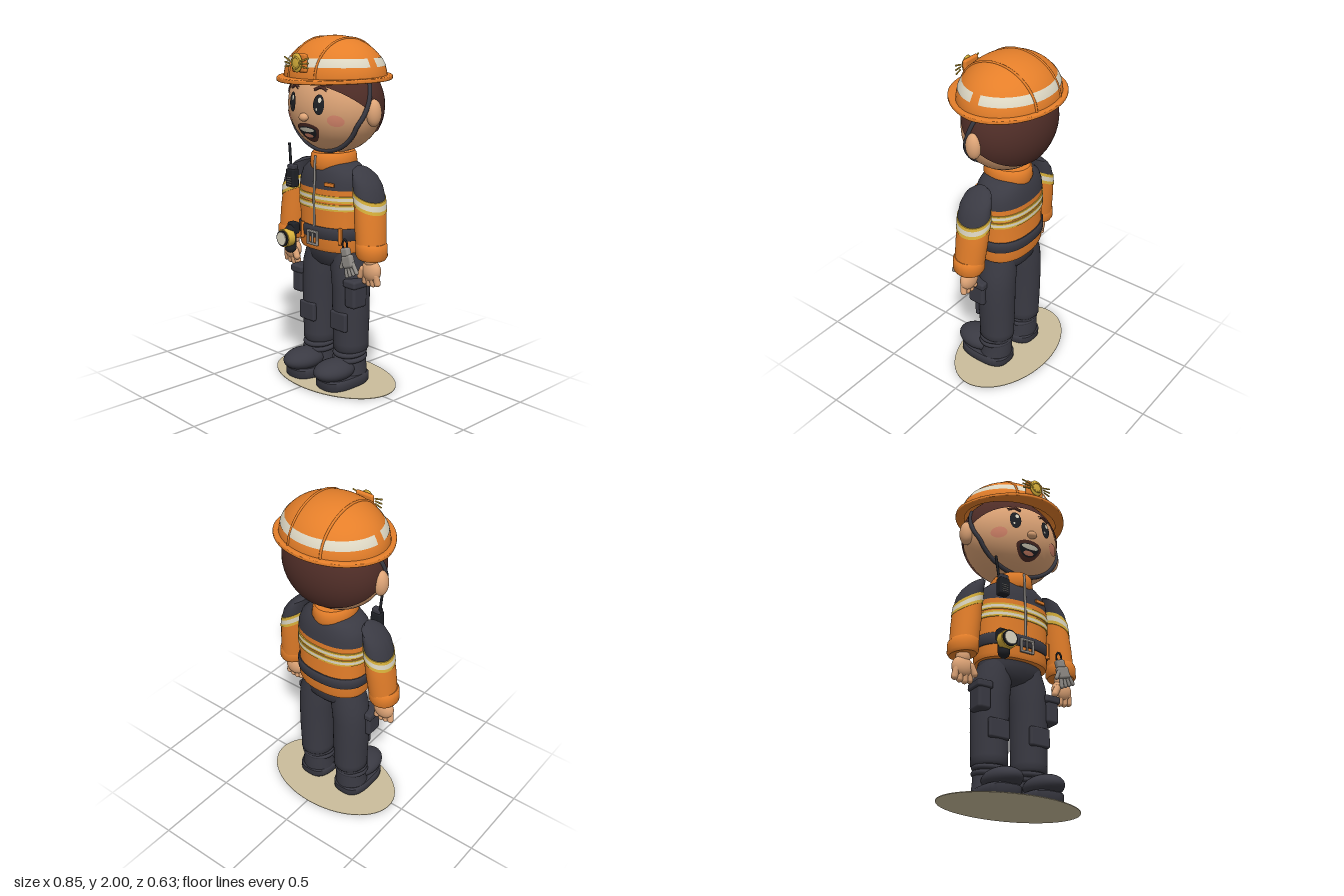
import * as THREE from 'three';
import { toCreasedNormals } from 'three/addons/utils/BufferGeometryUtils.js';
import { RoundedBoxGeometry } from 'three/addons/geometries/RoundedBoxGeometry.js';

const mat = (name, color, side = THREE.FrontSide) => {
  const m = new THREE.MeshStandardMaterial({ color, side });
  m.name = name;
  return m;
};

export function createModel() {
  const root = new THREE.Group();
  root.name = 'rescueWorker';
  const D = THREE.DoubleSide;
  const orange = mat('orange', 0xe57f2a, D), navy = mat('navy', 0x3a3a43), skin = mat('skin', 0xdfa577);
  const hair = mat('hairBrown', 0x4f2d27, D), silver = mat('silver', 0xded8c4, D), yellow = mat('yellow', 0xdcb43c, D);
  const grey = mat('grey', 0x918d88), black = mat('black', 0x1f2126), pink = mat('pink', 0xe08c70), sand = mat('sand', 0xcabd9b);

  const add = (name, geo, m, x = 0, y = 0, z = 0, rx = 0, ry = 0, rz = 0) => {
    const mesh = new THREE.Mesh(geo, m);
    mesh.name = name;
    mesh.position.set(x, y, z);
    mesh.rotation.set(rx, ry, rz);
    root.add(mesh);
    return mesh;
  };
  const ball = (name, m, x, y, z, a, b, c) => add(name, new THREE.SphereGeometry(1, 32, 22).scale(a, b, c), m, x, y, z);
  const box = (name, m, x, y, z, w, h, d, r = 0.01, ...rot) => add(name, new RoundedBoxGeometry(w, h, d, 3, r), m, x, y, z, ...rot);
  const tube = (name, m, pts, r) => add(name, new THREE.TubeGeometry(
    new THREE.CatmullRomCurve3(pts.map(p => new THREE.Vector3(...p))), 40, r, 8), m);

  // Skin over rings listed from top to bottom: [x, y, z, rx, rz, tilt]
  const loft = (name, m, rings, e = 2, n = 40) => {
    const pos = [], idx = [], last = rings.length - 1;
    const pw = v => Math.sign(v) * Math.abs(v) ** (2 / e);
    for (const [x, y, z, rx, rz, t = 0] of rings)
      for (let j = 0; j < n; j++) {
        const a = j / n * Math.PI * 2, u = rx * pw(Math.cos(a));
        pos.push(x + u * Math.cos(t), y - u * Math.sin(t), z + rz * pw(Math.sin(a)));
      }
    for (const r of [rings[0], rings[last]]) pos.push(r[0], r[1], r[2]);
    const top = n * rings.length;
    for (let j = 0; j < n; j++) {
      const k = (j + 1) % n, b = last * n;
      for (let i = 0; i < last; i++) {
        const p = i * n, q = p + n;
        idx.push(p + j, p + k, q + k, p + j, q + k, q + j);
      }
      idx.push(top, k, j, top + 1, b + j, b + k);
    }
    const g = new THREE.BufferGeometry();
    g.setAttribute('position', new THREE.Float32BufferAttribute(pos, 3));
    g.setIndex(idx);
    return add(name, toCreasedNormals(g, 0.75), m);
  };
  // Reflective tape: yellow, silver, yellow between two rings
  const tape = (name, a, b, e) => {
    const mix = t => a.map((v, i) => v + (b[i] - v) * t);
    [[0, 0.28, yellow], [0.28, 0.72, silver], [0.72, 1, yellow]].forEach(([f, t, m]) => loft(name, m, [mix(f), mix(t)], e));
  };

  add('groundDisc', new THREE.CylinderGeometry(1, 1, 0.004, 64).scale(0.425, 1, 0.275), sand, 0, 0.002, -0.025);

  // Head
  const HY = 1.62, HZ = -0.025, R = [0.3, 0.27, 0.235];
  const faceZ = (x, y) => HZ + R[2] * Math.sqrt(Math.max(0, 1 - (x / R[0]) ** 2 - ((y - HY) / R[1]) ** 2));
  ball('head', skin, 0, HY, HZ, ...R);
  add('hair', new THREE.SphereGeometry(1.03, 48, 32, 0, Math.PI * 2, 0, 1.69).rotateX(-0.6).scale(...R), hair, 0, HY, HZ);
  ball('nose', skin, 0, 1.565, 0.213, 0.03, 0.023, 0.024);

  // Face details: thin patches that follow the head
  const patch = (name, m, cx, cy, w, up, down, off, taper = 0) => {
    const g = new THREE.RingGeometry(0.002, 1, 40, 6), p = g.attributes.position;
    for (let i = 0; i < p.count; i++) {
      const u = p.getX(i), v = p.getY(i);
      const x = cx + u * w * (v < 0 ? 1 + taper * v : 1), y = cy + v * (v > 0 ? up : down);
      p.setXYZ(i, x, y, faceZ(x, y) + off);
    }
    g.computeVertexNormals();
    add(name, g, m);
  };
  patch('goatee', hair, 0, 1.5, 0.085, 0.032, 0.078, 0.004, 0.15);
  patch('mouth', black, 0, 1.495, 0.066, 0.018, 0.052, 0.007);
  patch('teeth', silver, 0, 1.495, 0.056, 0.012, 0.014, 0.01);
  patch('tongue', pink, 0, 1.462, 0.034, 0.01, 0.013, 0.01);
  for (const s of [1, -1]) {
    patch('eye', black, s * 0.105, 1.64, 0.033, 0.055, 0.055, 0.006);
    patch('eyeGlint', silver, s * 0.105 + 0.008, 1.665, 0.01, 0.014, 0.014, 0.009);
    patch('eyeGlint', silver, s * 0.105 - 0.01, 1.615, 0.005, 0.007, 0.007, 0.009);
    patch('cheek', pink, s * 0.187, 1.555, 0.04, 0.032, 0.032, 0.004);
    tube('eyebrow', hair, [0.065, 0.1, 0.14].map((x, i) => {
      const y = [1.718, 1.732, 1.716][i];
      return [s * x, y, faceZ(x, y) + 0.003];
    }), 0.008);
    ball('ear', skin, s * 0.305, 1.595, -0.022, 0.04, 0.075, 0.045);
  }

  // Chin strap
  const strap = [];
  for (let i = 0; i <= 24; i++) {
    const a = -2.05 + 4.1 * i / 24, y = HY - R[1] * Math.cos(a);
    const z = 0.065 - 0.09 * Math.max(0, (y - 1.52) / 0.24);
    const c = 1.025 * Math.sqrt(1 - ((z - HZ) / R[2]) ** 2);
    strap.push([R[0] * c * Math.sin(a), HY - R[1] * c * Math.cos(a), z]);
  }
  tube('chinStrap', navy, strap, 0.013);

  // Helmet
  const DY = 1.77, DR = [0.312, 0.23, 0.267];
  add('helmetDome', new THREE.SphereGeometry(1, 56, 24, 0, Math.PI * 2, 0, Math.PI / 2).scale(...DR), orange, 0, DY, HZ);
  const brim = new THREE.Shape(), hole = new THREE.Path();
  for (let i = 0; i < 72; i++) {
    const a = i / 72 * Math.PI * 2, f = Math.max(0, Math.sin(a));
    brim[i ? 'lineTo' : 'moveTo'](0.335 * Math.cos(a) * (1 - 0.1 * f * (1 - f)), 0.283 * Math.sin(a) + 0.047 * f ** 3);
  }
  hole.absellipse(0, 0, 0.298, 0.253, 0, Math.PI * 2);
  brim.holes.push(hole);
  const brimGeo = new THREE.ExtrudeGeometry(brim, { depth: 0.008, bevelThickness: 0.008, bevelSize: 0.009, bevelSegments: 3, curveSegments: 36 });
  add('helmetBrim', toCreasedNormals(brimGeo.rotateX(Math.PI / 2), 0.8), orange, 0, 1.776, HZ, 0.03);
  for (const start of [0.1, Math.PI + 0.1])
    add('helmetStripe', new THREE.SphereGeometry(1.008, 48, 4, start, Math.PI - 0.2, 1.055, 0.215).scale(...DR), silver, 0, DY, HZ);
  for (const s of [1, -1]) {
    const c = Math.sqrt(1 - (0.105 / DR[0]) ** 2), pts = [];
    for (let i = 0; i <= 16; i++) {
      const a = Math.PI * i / 16;
      pts.push([s * 0.105, DY + DR[1] * c * Math.sin(a), HZ + DR[2] * c * Math.cos(a)]);
    }
    tube('helmetRidge', orange, pts, 0.007);
    for (let i = 0; i < 3; i++)
      box('badgeWing', yellow, s * 0.07, 1.86 + (i - 1) * 0.02, 0.266, 0.05 + i * 0.006, 0.009, 0.007, 0.003, 0, s * 0.2, s * (i - 1) * 0.22 + s * 0.1);
  }
  box('badgeMount', orange, 0, 1.86, 0.238, 0.114, 0.1, 0.026, 0.012);
  ball('badge', yellow, 0, 1.862, 0.26, 0.042, 0.052, 0.012);
  add('badgeRim', new THREE.TorusGeometry(0.03, 0.005, 8, 32), yellow, 0, 1.862, 0.269);

  // Jacket
  const jr = (y, rx, rz) => [0, y, -0.02, rx, rz, 0];
  loft('jacketYoke', navy, [jr(1.31, 0.1, 0.105), jr(1.285, 0.16, 0.125), jr(1.25, 0.2, 0.14), jr(1.2, 0.22, 0.15), jr(1.16, 0.224, 0.154)], 2.3);
  loft('jacketBody', orange, [jr(1.16, 0.224, 0.154), jr(1.05, 0.222, 0.155), jr(0.92, 0.217, 0.155), jr(0.825, 0.22, 0.158), jr(0.803, 0.212, 0.15)], 2.3);
  tape('jacketTape', jr(1.128, 0.229, 0.16), jr(1.092, 0.229, 0.16), 2.3);
  tape('jacketTape', jr(1.08, 0.228, 0.16), jr(1.044, 0.228, 0.16), 2.3);
  loft('collar', orange, [[0, 1.358, -0.015, 0.106, 0.132], [0, 1.345, -0.015, 0.115, 0.141], [0, 1.29, -0.015, 0.122, 0.146], [0, 1.265, -0.015, 0.112, 0.136]]);
  tube('zip', grey, [[0, 0.94, 0.139], [0, 1.16, 0.138], [0, 1.22, 0.133], [0, 1.28, 0.134], [0, 1.345, 0.127]], 0.007);
  box('nameTag', orange, 0.11, 1.192, 0.124, 0.068, 0.022, 0.012, 0.004, 0, 0.15);

  // Belt
  loft('belt', navy, [jr(0.945, 0.222, 0.161), jr(0.937, 0.229, 0.167), jr(0.884, 0.229, 0.167), jr(0.876, 0.222, 0.161)], 2.3);
  for (const [x, y, w, h] of [[0, 0.036, 0.09, 0.014], [0, -0.036, 0.09, 0.014], [0.038, 0, 0.014, 0.086], [-0.038, 0, 0.014, 0.086], [0, 0, 0.01, 0.07]])
    box('buckle', grey, x, 0.877 + y, 0.153, w, h, 0.016, 0.005);
  for (const x of [0.175, -0.1]) box('beltLoop', orange, x, 0.905, x > 0.15 ? 0.103 : 0.138, 0.02, 0.095, 0.022, 0.005, 0, x * 2);

  // Arms, hands, legs and boots
  for (const s of [1, -1]) {
    const r = (x, y, rx, rz, t, z = -0.005) => [s * x, y, z, rx, rz, s * t];
    const seam = r(0.292, 1.155, 0.088, 0.1, 0.5), low = r(0.3, 1.085, 0.089, 0.1, 0.45);
    loft('shoulder', navy, [r(0.243, 1.287, 0.02, 0.025, 0.5), r(0.25, 1.275, 0.05, 0.055, 0.5), r(0.262, 1.25, 0.075, 0.082, 0.5), r(0.28, 1.21, 0.085, 0.095, 0.5), seam]);
    tape('sleeveTape', r(0.292, 1.155, 0.092, 0.104, 0.5), r(0.3, 1.085, 0.093, 0.104, 0.45));
    loft('sleeve', orange, [seam, low, r(0.308, 1, 0.085, 0.098, 0.25, 0), r(0.322, 0.86, 0.08, 0.09, 0.1, 0.008)]);
    loft('cuff', orange, [r(0.327, 0.89, 0.076, 0.084, 0.12, 0.01), r(0.328, 0.877, 0.086, 0.092, 0.12, 0.01), r(0.329, 0.815, 0.087, 0.093, 0.1, 0.01),
      r(0.329, 0.797, 0.076, 0.083, 0.1, 0.01), r(0.329, 0.803, 0.05, 0.055, 0.1, 0.01)]);
    ball('wrist', skin, s * 0.328, 0.785, 0.012, 0.042, 0.05, 0.036);
    ball('palm', skin, s * 0.33, 0.725, 0.012, 0.065, 0.064, 0.04);
    for (let i = 0; i < 4; i++)
      add('finger', new THREE.CapsuleGeometry(0.019, 0.045, 6, 12), skin, s * (0.288 + i * 0.029), 0.668 + Math.abs(i - 1.3) * 0.008, 0.016, 0.15, 0, s * (i - 1.5) * 0.1);
    add('thumb', new THREE.CapsuleGeometry(0.02, 0.045, 6, 12), skin, s * 0.277, 0.71, 0.035, 0, 0, s * -0.45);

    const l = (x, y, rx, rz, z = -0.03) => [s * x, y, z, rx, rz];
    loft('trouserLeg', navy, [l(0.1, 0.81, 0.088, 0.1), l(0.115, 0.7, 0.109, 0.112), l(0.127, 0.58, 0.108, 0.111), l(0.128, 0.4, 0.106, 0.109),
      l(0.128, 0.25, 0.1, 0.105), l(0.128, 0.215, 0.101, 0.106), l(0.128, 0.2, 0.09, 0.095)]);
    box('cargoPocket', navy, s * 0.222, 0.565, 0.025, 0.08, 0.15, 0.11, 0.018);
    box('pocketFlap', navy, s * 0.222, 0.632, 0.025, 0.098, 0.046, 0.125, 0.014);
    box('kneePatch', navy, s * 0.132, 0.393, 0.071, 0.128, 0.112, 0.03, 0.012);
    loft('bootShaft', navy, [l(0.128, 0.22, 0.085, 0.09), l(0.128, 0.12, 0.09, 0.092), l(0.13, 0.05, 0.1, 0.1, -0.02)]);
    for (const [y, q] of [[0.192, 0.086], [0.16, 0.088]])
      add('bootFold', new THREE.TorusGeometry(q, 0.015, 10, 36).rotateX(Math.PI / 2 + 0.12), navy, s * 0.128, y, -0.022);
    ball('bootToe', navy, s * 0.131, 0.105, 0.105, 0.1, 0.063, 0.138);
    loft('bootSole', navy, [l(0.132, 0.068, 0.1, 0.155, 0.04), l(0.132, 0.058, 0.108, 0.165, 0.04), l(0.132, 0.018, 0.108, 0.165, 0.04), l(0.132, 0.006, 0.1, 0.157, 0.04)], 2.8);
  }
  loft('hips', navy, [[0, 0.85, -0.025, 0.19, 0.135], [0, 0.78, -0.028, 0.198, 0.126], [0, 0.73, -0.03, 0.195, 0.115], [0, 0.7, -0.03, 0.14, 0.09], [0, 0.69, -0.03, 0.06, 0.05]]);

  // Radio on the right chest
  box('radioBody', black, -0.163, 1.2, 0.157, 0.066, 0.105, 0.05, 0.01);
  box('radioTop', navy, -0.163, 1.262, 0.155, 0.055, 0.03, 0.04, 0.008);
  for (let i = 0; i < 4; i++) box('radioGrille', grey, -0.163, 1.165 + i * 0.013, 0.182, 0.042, 0.004, 0.004, 0.001);
  tube('antenna', black, [[-0.185, 1.26, 0.148], [-0.192, 1.32, 0.145], [-0.202, 1.395, 0.142]], 0.008);

  // Torch on the belt
  const disc = (name, m, r, d, z) => add(name, new THREE.CylinderGeometry(r, r, d, 36).rotateX(Math.PI / 2), m, -0.165, 0.855, z);
  add('torchBody', new THREE.CapsuleGeometry(0.034, 0.1, 6, 24), black, -0.165, 0.843, 0.172);
  box('torchClip', black, -0.165, 0.905, 0.15, 0.06, 0.07, 0.05, 0.012);
  disc('torchHead', yellow, 0.052, 0.05, 0.205);
  disc('torchBezel', black, 0.046, 0.012, 0.234);
  disc('torchLens', silver, 0.037, 0.006, 0.241);

  // Work glove clipped to the left of the belt
  add('carabiner', new THREE.TorusGeometry(0.022, 0.006, 8, 24).scale(0.8, 1.3, 1), black, 0.235, 0.875, 0.125);
  box('gloveCuff', grey, 0.243, 0.835, 0.125, 0.058, 0.05, 0.036, 0.012, 0, 0, 0.25);
  box('glovePalm', grey, 0.262, 0.785, 0.125, 0.08, 0.075, 0.038, 0.016, 0, 0, 0.3);
  for (let i = 0; i < 4; i++)
    add('gloveFinger', new THREE.CapsuleGeometry(0.012, 0.055, 4, 10), grey, 0.25 + i * 0.021, 0.727 + i * 0.01, 0.125, 0, 0, 0.1 + i * 0.16);
  add('gloveThumb', new THREE.CapsuleGeometry(0.012, 0.045, 4, 10), grey, 0.222, 0.765, 0.13, 0, 0, -0.4);

  return root;
}
